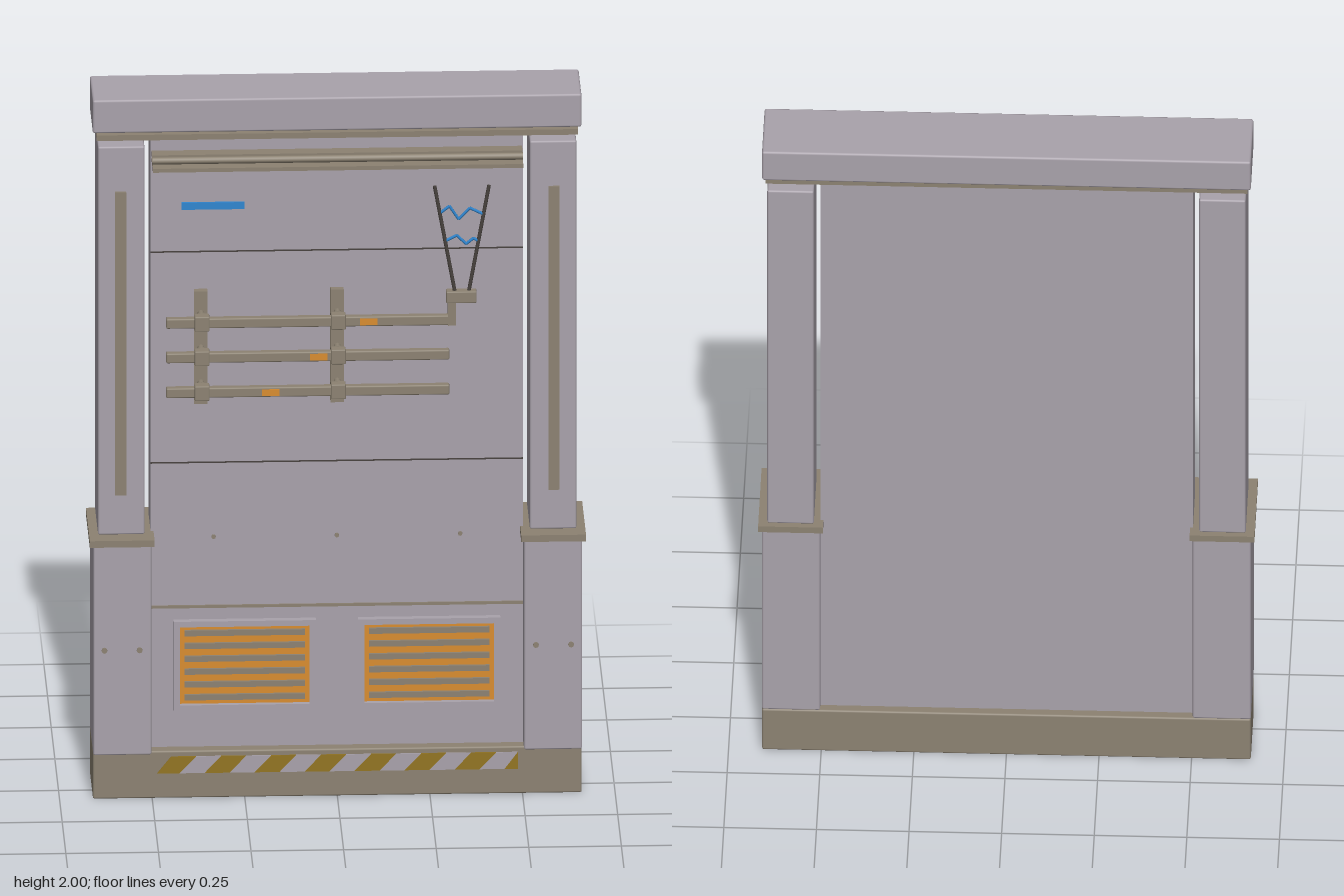
import * as THREE from 'three';
import { RoundedBoxGeometry } from 'three/addons/geometries/RoundedBoxGeometry.js';

const mat = (name, color) => {
  const m = new THREE.MeshStandardMaterial({ color });
  m.name = name;
  return m;
};

export function createModel() {
  const root = new THREE.Group();
  root.name = 'wallSection';
  const wall = mat('wall grey', 0xa9a2ab);
  const trim = mat('trim brown', 0x8c8272);
  const orange = mat('warm orange', 0xd88c30);
  const blue = mat('signal blue', 0x2f86d0);
  const yellow = mat('hazard yellow', 0x937522);
  const dark = mat('dark metal', 0x48423e);

  const add = (name, geo, m, parent = root) => {
    const mesh = new THREE.Mesh(geo, m);
    mesh.name = name;
    parent.add(mesh);
    return mesh;
  };
  // Box given by its limits on each axis; bevel softens the edges
  const box = (name, m, [x0, x1], [y0, y1], [z0, z1], bevel = 0, parent = root) => {
    const s = [x1 - x0, y1 - y0, z1 - z0];
    const geo = bevel ? new RoundedBoxGeometry(...s, 1, bevel) : new THREE.BoxGeometry(...s);
    const mesh = add(name, geo, m, parent);
    mesh.position.set((x0 + x1) / 2, (y0 + y1) / 2, (z0 + z1) / 2);
    return mesh;
  };
  // Round bar between two points
  const rod = (name, m, a, b, r, sides = 8, parent = root) => {
    const p = new THREE.Vector3(...a), q = new THREE.Vector3(...b);
    const d = q.clone().sub(p);
    const mesh = add(name, new THREE.CylinderGeometry(r, r, d.length(), sides), m, parent);
    mesh.position.copy(p).add(q).multiplyScalar(0.5);
    mesh.quaternion.setFromUnitVectors(new THREE.Vector3(0, 1, 0), d.normalize());
    return mesh;
  };

  const FRONT = 0.038; // front of the wall panel

  // Main body
  box('base', trim, [-0.66, 0.66], [0, 0.135], [-0.142, 0.073], 0.005);
  box('wallPanel', wall, [-0.503, 0.503], [0.13, 1.895], [-0.116, FRONT]);
  box('topTrim', trim, [-0.65, 0.65], [1.889, 1.905], [-0.132, 0.075]);
  box('topBeam', wall, [-0.66, 0.66], [1.905, 2], [-0.141, 0.062], 0.006);

  // Seams across the panel
  for (const y of [0.95, 1.555]) box('panelSeam', dark, [-0.503, 0.503], [y - 0.002, y + 0.002], [FRONT, FRONT + 0.001]);
  box('lowerSeam', trim, [-0.503, 0.503], [0.533, 0.541], [FRONT, FRONT + 0.004]);

  // Pilasters, mirrored left and right
  for (const s of [-1, 1]) {
    const side = new THREE.Group();
    side.name = s > 0 ? 'leftPilaster' : 'rightPilaster';
    root.add(side);
    const span = (a, b) => (s > 0 ? [a, b] : [-b, -a]);
    box('lowerPilaster', wall, span(0.503, 0.66), [0.135, 0.737], [-0.142, 0.102], 0.005, side);
    box('pilasterCap', trim, span(0.495, 0.67), [0.736, 0.755], [-0.152, 0.114], 0, side);
    box('upperPilaster', wall, span(0.52, 0.646), [0.755, 1.868], [-0.137, 0.066], 0.005, side);
    box('pilasterStrip', trim, span(0.57, 0.6), [0.87, 1.74], [0.062, 0.073], 0, side);
    for (const x of [0.535, 0.63])
      rod('pilasterBolt', trim, [s * x, 0.437, 0.1], [s * x, 0.437, 0.107], 0.008, 8, side);
  }
  for (const x of [-0.333, 0, 0.333]) rod('panelBolt', trim, [x, 0.737, FRONT], [x, 0.737, FRONT + 0.006], 0.006);

  // Rail under the top beam
  box('railShelf', trim, [-0.5, 0.5], [1.815, 1.826], [FRONT, 0.128]);
  box('railBack', trim, [-0.5, 0.5], [1.832, 1.846], [FRONT, 0.076]);
  rod('railTube', trim, [-0.5, 1.839, 0.1], [0.5, 1.839, 0.1], 0.01, 10);

  // Blue marker plate
  box('marker', blue, [-0.42, -0.25], [1.677, 1.697], [FRONT, FRONT + 0.006]);

  // Pipe rack: upright straps, pipes, clamps and standoffs
  const posts = [-0.368, 0];
  for (const x of posts) box('strap', trim, [x - 0.018, x + 0.018], [1.125, 1.448], [FRONT, 0.06]);
  [[1.386, 0.082], [1.287, -0.053], [1.187, -0.183]].forEach(([y, mark]) => {
    box('pipe', trim, [-0.465, 0.3], [y - 0.014, y + 0.014], [0.122, 0.146], 0.004);
    box('pipeMark', orange, [mark - 0.024, mark + 0.024], [y - 0.009, y + 0.009], [0.144, 0.149]);
    for (const x of posts) {
      box('clamp', trim, [x - 0.02, x + 0.02], [y - 0.021, y + 0.021], [0.12, 0.152], 0.003);
      rod('standoff', trim, [x, y, 0.05], [x, y, 0.125], 0.009, 10);
      rod('standoffRing', trim, [x, y, 0.09], [x, y, 0.1], 0.014, 10);
    }
  });

  // Forked antenna on the end of the top pipe
  box('antennaStem', trim, [0.296, 0.318], [1.372, 1.44], [0.126, 0.148]);
  box('antennaBlock', trim, [0.291, 0.373], [1.437, 1.47], [0.122, 0.152], 0.003);
  rod('antennaProng', dark, [0.315, 1.465, 0.138], [0.26, 1.77, 0.138], 0.005);
  rod('antennaProng', dark, [0.352, 1.465, 0.138], [0.407, 1.77, 0.138], 0.005);
  const arcs = [
    [[0.272, 1.69], [0.3, 1.712], [0.325, 1.674], [0.355, 1.706], [0.393, 1.687]],
    [[0.291, 1.613], [0.32, 1.628], [0.345, 1.603], [0.365, 1.619], [0.38, 1.61]],
  ];
  for (const arc of arcs)
    for (let i = 1; i < arc.length; i++)
      rod('spark', blue, [...arc[i - 1], 0.138], [...arc[i], 0.138], 0.004, 6);

  // Vents with glowing backs and slats
  for (const cx of [-0.249, 0.249]) {
    const vent = new THREE.Group();
    vent.name = 'vent';
    vent.position.set(cx, 0.372, FRONT);
    root.add(vent);
    const rect = (P, w, h) => new P([[-w, -h], [w, -h], [w, h], [-w, h]].map(p => new THREE.Vector2(...p)));
    const frame = rect(THREE.Shape, 0.192, 0.128);
    frame.holes.push(rect(THREE.Path, 0.175, 0.112));
    add('ventFrame', new THREE.ExtrudeGeometry(frame, { depth: 0.02, bevelEnabled: false }), wall, vent);
    box('ventGlow', orange, [-0.175, 0.175], [-0.112, 0.112], [0, 0.006], 0, vent);
    for (let i = 0; i < 6; i++) {
      const y = -0.092 + i * 0.0368;
      box('ventSlat', trim, [-0.163, 0.163], [y - 0.008, y + 0.008], [0.005, 0.014], 0, vent);
    }
  }

  // Hazard stripes on the base
  const y0 = 0.072, y1 = 0.12, step = 0.0675, lean = 0.045;
  const clampX = x => Math.max(-0.487, Math.min(0.487, x));
  for (let i = 0; i < 15; i++) {
    const x = -0.487 + (i - 0.1) * step;
    const pts = [[x, y0], [x + step, y0], [x + step + lean, y1], [x + lean, y1]];
    const shape = new THREE.Shape(pts.map(([px, py]) => new THREE.Vector2(clampX(px), py)));
    const geo = new THREE.ExtrudeGeometry(shape, { depth: 0.003, bevelEnabled: false });
    add('hazardStripe', geo, i % 2 ? wall : yellow).position.z = 0.073;
  }

  return root;
}
